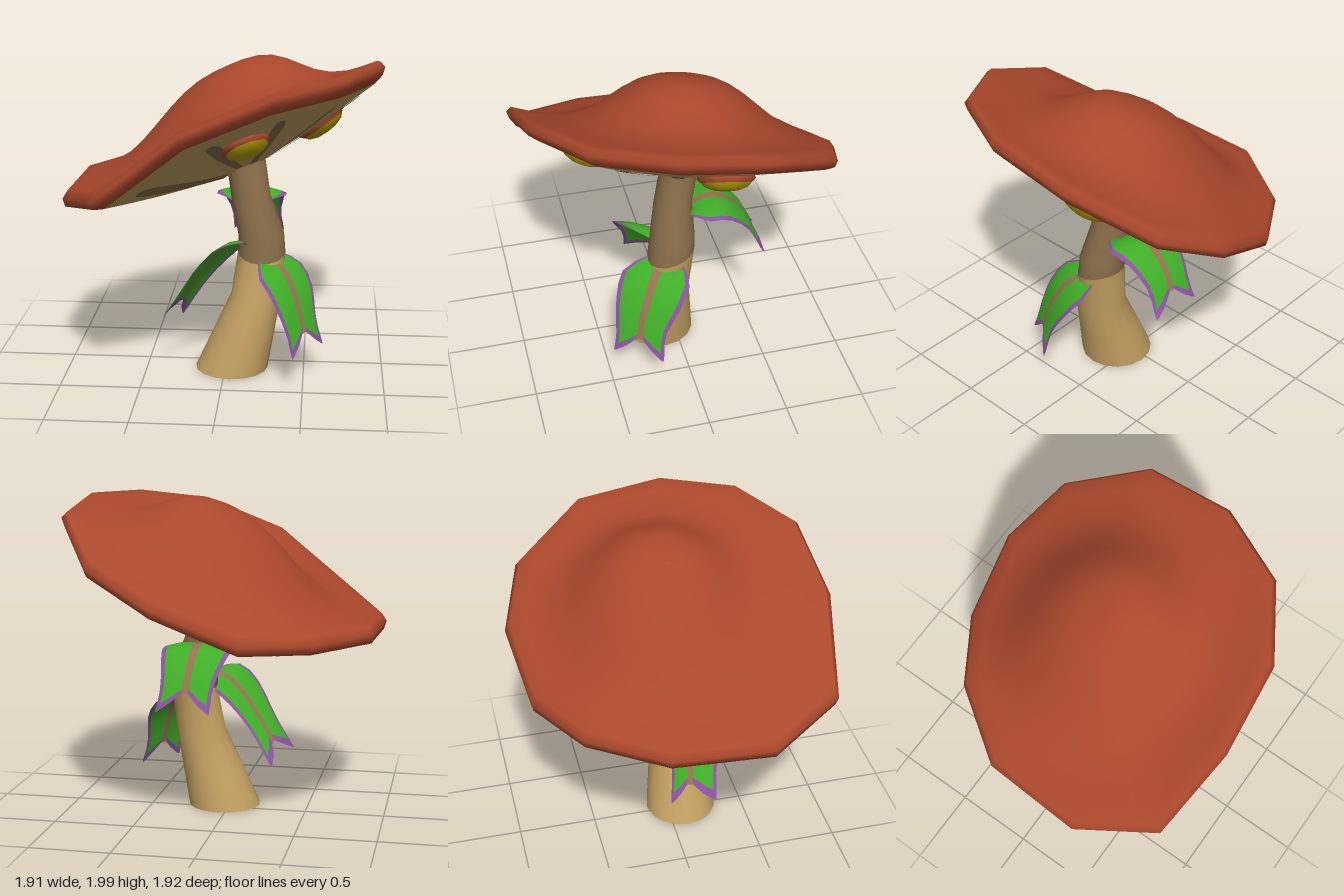
import * as THREE from 'three';

const mat = (name, color, side = THREE.FrontSide) => {
  const m = new THREE.MeshStandardMaterial({ color, side });
  m.name = name;
  return m;
};
const V = (x, y, z) => new THREE.Vector3(x, y, z);

// Skin a list of point rows; closed rows wrap around. pick(i, j) chooses a material index.
function loft(rows, closed, pick) {
  const n = rows[0].length, cols = closed ? n : n - 1, buckets = [];
  for (let i = 0; i < rows.length - 1; i++) {
    for (let j = 0; j < cols; j++) {
      const k = (j + 1) % n, a = i * n + j, b = i * n + k, c = a + n, d = b + n;
      const g = pick ? pick(i, j) : 0;
      (buckets[g] ??= []).push(a, c, b, b, c, d);
    }
  }
  const geo = new THREE.BufferGeometry().setFromPoints(rows.flat());
  geo.setIndex(buckets.flat());
  let start = 0;
  buckets.forEach((list, g) => { geo.addGroup(start, list.length, g); start += list.length; });
  geo.computeVertexNormals();
  return geo;
}

// Uneven twelve-sided cap rim
const RIM = [
  [0.27, 1.42, -0.96], [0.68, 1.63, -0.82], [0.955, 1.88, -0.37], [0.955, 1.965, 0.18],
  [0.74, 1.96, 0.64], [0.32, 1.9, 0.91], [-0.2, 1.69, 0.96], [-0.7, 1.29, 0.87],
  [-0.96, 1.18, 0.42], [-0.93, 1.19, -0.2], [-0.62, 1.19, -0.65], [-0.23, 1.21, -0.89],
].map(p => V(...p));
const rim = s => {
  const w = ((s % 12) + 12) % 12, i = Math.floor(w);
  return RIM[i].clone().lerp(RIM[(i + 1) % 12], w - i);
};
const SEG = 48;
const around = fn => Array.from({ length: SEG }, (_, j) => fn(j * 12 / SEG));

// Point on the underside: s runs round the rim, t from stalk to rim
const HUB = V(0.12, 1.27, -0.02);
const under = (s, t) => {
  const p = rim(s);
  p.y -= 0.055;
  p.lerpVectors(HUB, p, t);
  p.y -= 0.02 * Math.sin(Math.PI * t);
  return p;
};

// Point on the top: a rounded dome over the tilted, uneven rim
const top = (s, t) => {
  const r = rim(s), x = r.x * t, z = r.z * t;
  const plane = 1.53 + 0.46 * x + 0.18 * z;
  const edge = 1.53 + (r.y - 1.53) * t;
  const d = Math.hypot(x, z + 0.08);
  return V(x, plane + (edge - plane) * t * t + 0.04 + 0.36 * Math.exp(-Math.pow(d / 0.5, 3)), z);
};

export function createModel() {
  const model = new THREE.Group();
  const red = mat('cap red', 0xaa482c);
  const tan = mat('stalk tan', 0xc4a162, THREE.DoubleSide);
  const brown = mat('gill and upper stalk brown', 0x886c48, THREE.DoubleSide);
  const yellow = mat('bulb yellow', 0xb8a200);
  const green = mat('leaf green', 0x40ae28, THREE.DoubleSide);
  const purple = mat('leaf edge purple', 0x8b50a2, THREE.DoubleSide);
  const vein = mat('leaf vein brown', 0x967150, THREE.DoubleSide);

  const add = (name, geo, material, parent = model) => {
    const m = new THREE.Mesh(geo, material);
    m.name = name;
    parent.add(m);
    return m;
  };

  // Cap: lip from the underside round to the dome
  const EDGE = 0.93;
  const lip = (t, dy) => around(s => {
    const r = rim(s);
    return V(r.x * t, r.y + dy, r.z * t);
  });
  const capRows = [around(s => under(s, EDGE)), lip(0.985, -0.05), lip(1, 0)];
  for (const t of [0.97, 0.88, 0.77, 0.66, 0.56, 0.47, 0.38, 0.29, 0.2, 0.1, 0.001])
    capRows.push(around(s => top(s, t)));
  add('cap', loft(capRows, true), red);
  add('capUnderside', loft([0.02, 0.2, 0.4, 0.6, 0.8, EDGE].map(t => around(s => under(s, t))), true), tan);

  // Dark gill stripes, thin plates just below the underside
  const gills = new THREE.Group();
  gills.name = 'gillStripes';
  model.add(gills);
  const profile = [[0.16, 0.02], [0.32, 0.026], [0.48, 0.032], [0.64, 0.037], [0.76, 0.039], [0.81, 0.03], [0.83, 0.012]];
  for (const s of [3.03, 3.83, 4.77, 5.74, 6.74, 7.7, 8.45, 9.1, 9.82, 10.65, 11.18, 11.84, 0.75, 1.9]) {
    const rows = profile.map(([t, w]) => [-1, -0.5, 0, 0.5, 1].map(u => {
      const p = under(s + u * w / (t * 0.5), t);
      p.y -= 0.008;
      return p;
    }));
    add('gillStripe', loft(rows, false), brown, gills);
  }

  // Hanging bulbs: shallow red cup with a yellow dome
  const lathe = pts => new THREE.LatheGeometry(pts.map(p => new THREE.Vector2(...p)), 9);
  const cup = lathe([[0.13, -0.05], [0.165, -0.015], [0.175, 0.01], [0.152, 0.032]]);
  const dome = lathe([[0.155, 0.028], [0.125, 0.06], [0.07, 0.08], [0, 0.086]]);
  for (const [s, t, size] of [[5.29, 0.61, 0.88], [2.07, 0.54, 1], [9.78, 0.58, 1.1]]) {
    const bulb = new THREE.Group();
    bulb.name = 'bulb';
    const p = under(s, t);
    const dt = under(s, t + 0.02).sub(p), ds = under(s + 0.05, t).sub(p);
    bulb.position.copy(p);
    bulb.quaternion.setFromUnitVectors(V(0, 1, 0), dt.cross(ds).normalize());
    bulb.scale.setScalar(size);
    add('bulbCup', cup, red, bulb);
    add('bulbDome', dome, yellow, bulb);
    model.add(bulb);
  }

  // Bent open stalk, tan below and brown above: centre, radius, slope along x and z
  const ring = ([x, y, z, r, sx = 0, sz = 0]) => Array.from({ length: 16 }, (_, j) => {
    const a = j * Math.PI / 8, dx = r * Math.cos(a), dz = r * Math.sin(a);
    return V(x + dx, y + sx * dx + sz * dz, z + dz);
  });
  const joint = [0.225, 0.765, 0.055, 0.149, 0, -0.3];
  add('lowerStalk', loft([[0.04, 0, 0.1, 0.23], [0.12, 0.26, 0.095, 0.193], [0.195, 0.5, 0.09, 0.158], joint].map(ring), true), tan);
  add('upperStalk', loft([joint, [0.22, 0.88, 0.045, 0.143, 0.1, -0.1], [0.155, 1.1, 0.025, 0.12, 0.25],
    [0.12, 1.32, -0.02, 0.118, 0.33]].map(ring), true), brown);

  // Drooping leaves with a notched tip: path, sideways direction, half width, share kept by the second half
  const cols = [-1, -0.87, -0.5, -0.12, 0.12, 0.5, 0.87, 1];
  const outline = new THREE.SplineCurve(
    [0.5, 0.97, 1, 0.88, 0.74, 0.76].map((w, i) => new THREE.Vector2(i / 5, w)));
  const leaf = (name, path, side, width, share = 1) => {
    const curve = new THREE.CatmullRomCurve3(path.map(p => V(...p)));
    const lateral = V(...side).normalize();
    const rows = [];
    for (const t of [0, 0.12, 0.25, 0.38, 0.5, 0.62, 0.74, 0.85, 0.95, 1]) {
      const c = curve.getPoint(t), dir = curve.getTangent(t);
      const w = width * outline.getPoint(t).y;
      rows.push(cols.map(u => {
        const p = c.clone().addScaledVector(lateral, u * w * (u < 0 ? share : 1));
        p.addScaledVector(dir, 0.11 * Math.pow(t, 4) * Math.min(1, Math.abs(u) * 1.5));
        p.y += 0.04 * Math.abs(u) - 0.07 * u * u * Math.min(1, t * 4);
        return p;
      }));
    }
    const last = rows.length - 2;
    add(name, loft(rows, false, (i, j) => (j === 3 ? 2 : i === last || j === 0 || j === 6 ? 1 : 0)), [green, purple, vein]);
  };
  leaf('frontLeaf', [[0.27, 0.71, 0.1], [0.35, 0.7, 0.18], [0.43, 0.58, 0.25], [0.47, 0.45, 0.3], [0.5, 0.34, 0.32]],
    [0.55, 0, -0.83], 0.22);
  leaf('sideLeaf', [[0.17, 0.8, 0.12], [0.08, 0.85, 0.14], [-0.05, 0.75, 0.14], [-0.16, 0.61, 0.11], [-0.27, 0.44, 0.08]],
    [-0.35, 0.22, 0.9], 0.24, 0.65);
  leaf('backLeaf', [[0.14, 1.02, -0.05], [0.145, 1.1, -0.17], [0.15, 1.08, -0.3], [0.16, 0.97, -0.42], [0.17, 0.86, -0.48]],
    [1, 0, 0.05], 0.22);

  return model;
}
